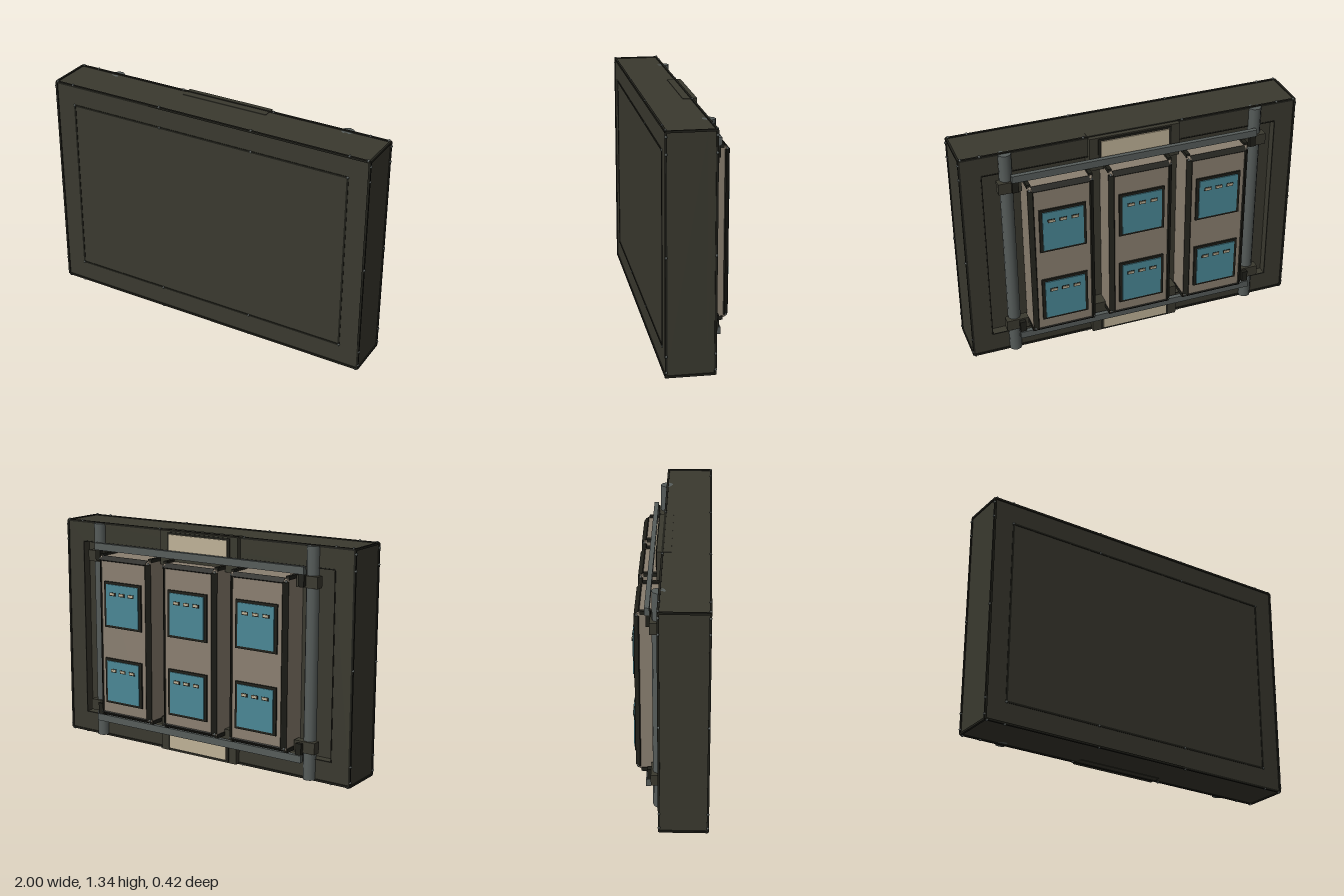
import * as THREE from 'three';

const mat = (name, color, side = THREE.FrontSide) => {
  const m = new THREE.MeshStandardMaterial({ color, side });
  m.name = name;
  return m;
};

export function createModel() {
  const shell = mat('dark olive shell', 0x3a392f);
  const trim = mat('black trim', 0x1f1f19);
  const steel = mat('grey steel', 0x565c5a);
  const beige = mat('warm beige', 0x8a7f70);
  const cream = mat('cream', 0xbfb297);
  const teal = mat('teal', 0x4a8795);

  const model = new THREE.Group();
  const CY = 0.67; // mid height, the layout mirrors about it

  const add = (name, geo, material, x = 0, y = 0, z = 0, parent = model) => {
    const mesh = new THREE.Mesh(geo, material);
    mesh.name = name;
    mesh.position.set(x, y, z);
    parent.add(mesh);
    return mesh;
  };
  const box = (name, material, w, h, d, x, y, z, parent) =>
    add(name, new THREE.BoxGeometry(w, h, d), material, x, y, z, parent);
  const rivetGeo = new THREE.SphereGeometry(0.008, 6, 4);
  const rivet = (x, y, z, parent) => add('rivet', rivetGeo, steel, x, y, z, parent);

  // rectangle outline, centred on the origin
  const rect = (Type, hw, hh) => {
    const s = new Type();
    s.moveTo(-hw, -hh);
    s.lineTo(hw, -hh);
    s.lineTo(hw, hh);
    s.lineTo(-hw, hh);
    s.closePath();
    return s;
  };
  const ring = (hw, hh, iw, ih, depth) => {
    const s = rect(THREE.Shape, hw, hh);
    s.holes.push(rect(THREE.Path, iw, ih));
    return new THREE.ExtrudeGeometry(s, { depth, bevelEnabled: false });
  };

  // Main cabinet: solid front block and a recessed back frame
  const HW = 0.985, HH = 0.655, ZF = 0.203, ZB = -0.058, IW = 0.865, IH = 0.533;
  box('cabinet', shell, HW * 2, HH * 2, ZF + 0.01, 0, CY, (ZF - 0.01) / 2);
  add('backFrame', ring(HW, HH, IW, IH, -0.01 - ZB), shell, 0, CY, ZB);

  // Seam lines on front and back
  add('screenSeam', ring(IW + 0.005, IH + 0.005, IW - 0.006, IH - 0.006, 0.004), trim, 0, CY, ZF - 0.001);
  add('recessSeam', ring(IW + 0.006, IH + 0.006, IW, IH, 0.004), trim, 0, CY, ZB - 0.003);

  // Edge beading round the cabinet
  const B = 0.012;
  for (const s of [-1, 1]) {
    for (const z of [ZF, ZB]) {
      box('edgeBeadX', trim, HW * 2, B, B, 0, CY + s * HH, z);
      box('edgeBeadY', trim, B, HH * 2, B, s * HW, CY, z);
    }
    for (const t of [-1, 1])
      box('edgeBeadZ', trim, B, B, ZF - ZB, s * HW, CY + t * HH, (ZF + ZB) / 2);
  }

  // Rivets along the beading and the screen seam
  for (const s of [-1, 1]) {
    for (const z of [ZF, ZB]) {
      for (const x of [-0.975, -0.87, -0.29, 0.29, 0.87, 0.975]) rivet(x, CY + s * 0.66, z);
      for (const dy of [-0.63, -0.54, 0, 0.54, 0.63]) rivet(s * 0.99, CY + dy, z);
    }
    for (const x of [-IW, -0.29, 0.29, IW]) rivet(x, CY + s * IH, ZF);
  }

  // Central mounting plates with cream labels, top and bottom
  for (const s of [-1, 1]) {
    box('mountPlate', shell, 0.53, 0.2, 0.08, 0, CY + s * 0.558, -0.05);
    box('labelSurround', trim, 0.43, 0.125, 0.006, 0, CY + s * 0.588, -0.092);
    box('labelPlate', cream, 0.4, 0.1, 0.009, 0, CY + s * 0.588, -0.097);
  }

  // Support rack: two poles, two cross bars and four clamps
  for (const s of [-1, 1]) {
    add('pole', new THREE.CylinderGeometry(0.037, 0.037, 1.31, 10), steel, s * 0.735, CY, -0.062);
    box('crossBar', steel, 1.44, 0.042, 0.026, 0, CY + s * 0.527, -0.125);
    for (const t of [-1, 1]) {
      box('clamp', shell, 0.13, 0.066, 0.05, s * 0.725, CY + t * 0.463, -0.084);
      box('barBracket', trim, 0.035, 0.09, 0.026, s * 0.7, CY + t * 0.485, -0.118);
    }
  }

  // Power modules
  const MW = 0.183, MH = 0.482, MZ = -0.192, BV = 0.024;
  const bodyGeo = new THREE.ExtrudeGeometry(rect(THREE.Shape, MW, MH), {
    depth: 0.15, bevelThickness: BV, bevelSize: BV, bevelOffset: -BV, bevelSegments: 2,
  });
  bodyGeo.translate(0, 0, MZ + BV);

  const makeModule = (x) => {
    const g = new THREE.Group();
    g.name = 'powerModule';
    g.position.set(x, CY, 0);
    add('moduleBody', bodyGeo, beige, 0, 0, 0, g);

    for (const s of [-1, 1]) {
      // dark strips over the bevelled edges
      box('sideStrip', trim, 0.012, 0.93, 0.034, s * (MW - 0.011), 0, MZ + 0.011, g).rotation.y = s * Math.PI / 4;
      box('endStrip', trim, 0.33, 0.012, 0.034, 0, s * (MH - 0.011), MZ + 0.011, g).rotation.x = -s * Math.PI / 4;
      for (const t of [-1, 1]) {
        box('cornerStrip', trim, 0.022, 0.022, 0.13, s * (MW - 0.007), t * (MH + 0.002), -0.1, g);
        rivet(s * (MW - 0.006), t * (MH - 0.015), -0.183, g);
      }
    }

    // two teal displays, each with three small tabs
    for (const y of [-0.26, 0.203]) {
      box('displayFrame', trim, 0.27, 0.275, 0.012, 0, y, MZ - 0.004, g);
      box('display', teal, 0.235, 0.245, 0.009, 0, y, -0.2035, g);
      for (const i of [-1, 0, 1]) {
        box('tabShadow', trim, 0.042, 0.02, 0.004, i * 0.068, y + 0.066, -0.209, g);
        box('displayTab', cream, 0.034, 0.012, 0.008, i * 0.068, y + 0.068, -0.211, g);
      }
    }
    model.add(g);
  };
  for (const i of [-1, 0, 1]) makeModule(i * 0.463);

  return model;
}
